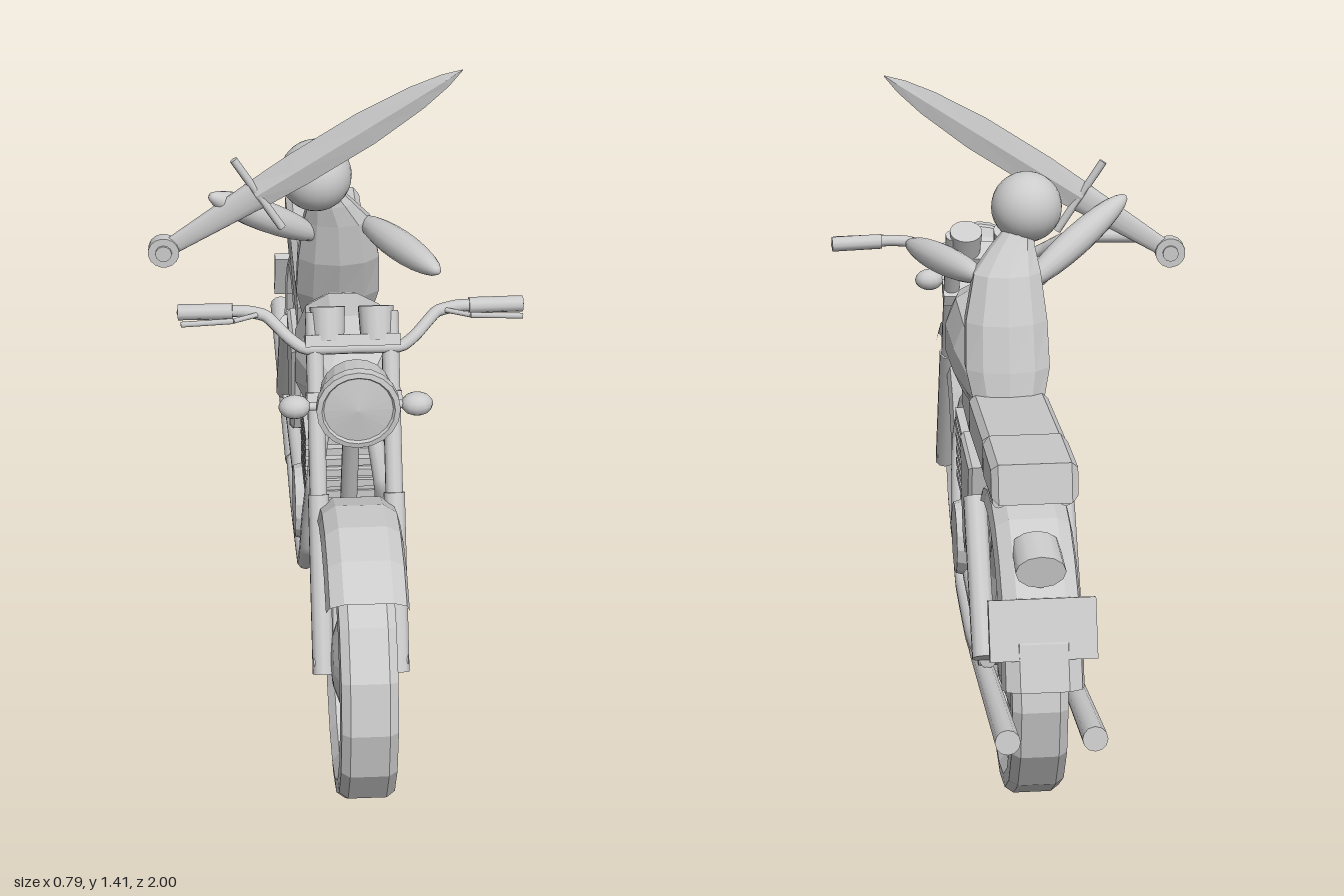
import * as THREE from 'three';

const flat = new THREE.MeshStandardMaterial({ color: 0xcccccc, flatShading: true });
const thin = new THREE.MeshStandardMaterial({ color: 0xcccccc, flatShading: true, side: THREE.DoubleSide });
const smooth = new THREE.MeshStandardMaterial({ color: 0xcccccc });
const V = (x, y, z) => new THREE.Vector3(x, y, z);

function add(parent, name, geo, mat = flat, x = 0, y = 0, z = 0) {
  const m = new THREE.Mesh(geo, mat);
  m.name = name;
  m.position.set(x, y, z);
  parent.add(m);
  return m;
}

// Straight round bar between two points
function rod(parent, name, a, b, r0, r1 = r0, seg = 10, mat = smooth) {
  const d = b.clone().sub(a);
  const m = add(parent, name, new THREE.CylinderGeometry(r1, r0, d.length(), seg), mat);
  m.position.copy(a).addScaledVector(d, 0.5);
  m.quaternion.setFromUnitVectors(V(0, 1, 0), d.normalize());
  return m;
}

// Bent pipe with tight corners and closed ends
function pipe(parent, name, pts, r) {
  const curve = new THREE.CatmullRomCurve3(pts, false, 'catmullrom', 0.2);
  add(parent, name, new THREE.TubeGeometry(curve, pts.length * 6, r, 10), smooth);
  for (const e of [0, pts.length - 1]) add(parent, name + 'End', new THREE.SphereGeometry(r, 10, 6), smooth).position.copy(pts[e]);
}

// Skin over cross-sections; rings run counter-clockwise around the path
function loft(rings, closed = true) {
  const pos = [], n = rings[0].length;
  const tri = (...p) => p.forEach(q => pos.push(...q));
  for (let i = 0; i < rings.length - 1; i++)
    for (let j = 0; j < (closed ? n : n - 1); j++) {
      const k = (j + 1) % n, A = rings[i], B = rings[i + 1];
      tri(A[j], A[k], B[k]);
      tri(A[j], B[k], B[j]);
    }
  if (closed) for (let j = 1; j < n - 1; j++) {
    const A = rings[0], B = rings[rings.length - 1];
    tri(A[0], A[j + 1], A[j]);
    tri(B[0], B[j], B[j + 1]);
  }
  const g = new THREE.BufferGeometry();
  g.setAttribute('position', new THREE.Float32BufferAttribute(pos, 3));
  g.computeVertexNormals();
  return g;
}

// Side outline given as [z, y], extruded across x
function slab(parent, name, pts, x, width, bevel = 0) {
  const s = new THREE.Shape(pts.map(([z, y]) => new THREE.Vector2(-z, y)));
  const g = new THREE.ExtrudeGeometry(s, {
    depth: width - 2 * bevel, bevelEnabled: bevel > 0, bevelSize: bevel, bevelOffset: -bevel, bevelThickness: bevel, bevelSegments: 1
  });
  g.translate(0, 0, bevel - width / 2).rotateY(Math.PI / 2);
  return add(parent, name, g, flat, x);
}

function wheel(parent, name, y, z) {
  const g = new THREE.Group();
  g.name = name;
  g.position.set(0, y, z);
  parent.add(g);
  const ring = [[.228, -.045], [.25, -.06], [.278, -.058], [.291, -.04], [.291, .04], [.278, .058], [.25, .06], [.228, .045], [.228, -.045]];
  const lathe = p => new THREE.LatheGeometry(p.map(q => new THREE.Vector2(...q)), 16).rotateZ(Math.PI / 2);
  add(g, 'tyre', lathe(ring), flat);
  add(g, 'hub', lathe([[0, -.065], [.05, -.06], [.122, -.035], [.122, .035], [.05, .06], [0, .065]]), flat);
  for (let i = 0; i < 18; i++) for (const s of [-1, 1]) {
    const a = (i + .25) / 18 * Math.PI * 2, c = Math.cos(a), d = Math.sin(a);
    rod(g, 'spoke', V(s * .03, d * .11, c * .11), V(s * .018, d * .235, c * .235), .007, .011, 6);
  }
}

// Arched mudguard with slanted side skirts; angles run from the +z direction
function fender(parent, name, y, z, R, a0, a1) {
  const rings = [];
  for (let i = 0; i <= 9; i++) {
    const a = THREE.MathUtils.degToRad(a0 + (a1 - a0) * i / 9);
    rings.push([[-.085, R - .045], [-.078, R - .018], [-.05, R], [.05, R], [.078, R - .018], [.085, R - .045]]
      .map(([x, r]) => [x, y + r * Math.sin(a), z + r * Math.cos(a)]));
  }
  add(parent, name, loft(rings, false), thin);
}

function buildBike() {
  const b = new THREE.Group();
  b.name = 'motorcycle';
  wheel(b, 'frontWheel', .303, .712);
  wheel(b, 'rearWheel', .292, -.51);
  fender(b, 'frontFender', .303, .712, .345, 51, 200);
  fender(b, 'rearFender', .295, -.51, .378, 34, 168);

  // Tank from rounded cross-sections: z, half width, top, bottom
  const outline = [[1, .25], [1, .55], [.78, .85], [.3, 1], [-.3, 1], [-.78, .85], [-1, .55], [-1, .25], [-.8, 0], [.8, 0]];
  add(b, 'fuelTank', loft([
    [-.11, .055, .75, .69], [0, .085, .825, .68], [.1, .105, .87, .68], [.25, .112, .887, .68], [.35, .09, .865, .73], [.4, .06, .83, .78]
  ].map(([z, w, t, o]) => outline.map(([x, f]) => [x * w, o + f * (t - o), z]))));

  // Seat in two cushions
  slab(b, 'seatFront', [[-.1, .745], [-.455, .775], [-.465, .682], [-.115, .65]], 0, .176, .014);
  slab(b, 'seatRear', [[-.46, .777], [-.67, .79], [-.688, .708], [-.465, .682]], 0, .18, .014);

  // Engine
  slab(b, 'crankcase', [[.26, .4], [.11, .43], [-.02, .47], [-.11, .46], [-.15, .4], [-.15, .3], [-.1, .245], [.24, .26]], 0, .16, .02);
  for (const s of [-1, 1]) rod(b, 'engineCover', V(s * .06, .335, .07), V(s * .108, .335, .07), .095, .082, 16, flat);
  add(b, 'cylinder', new THREE.BoxGeometry(.13, .22, .17), flat, 0, .5, .135);
  for (let i = 0; i < 6; i++)
    add(b, 'coolingFin', new THREE.BoxGeometry(.18, .017, .225 - .009 * (5 - i)), flat, 0, .435 + i * .029, .135);
  slab(b, 'cylinderHead', [[.26, .69], [.235, .595], [.035, .595], [.015, .69]], 0, .15, .01);
  rod(b, 'carburettor', V(0, .565, .03), V(0, .575, -.1), .037, .037, 12);
  rod(b, 'carburettorRing', V(0, .567, 0), V(0, .569, -.025), .046, .046, 12);

  // Frame
  rod(b, 'downTube', V(0, .84, .45), V(0, .28, .25), .019);
  rod(b, 'backbone', V(0, .83, .44), V(0, .69, -.1), .025);
  rod(b, 'seatTube', V(0, .67, -.1), V(0, .27, -.12), .02);
  rod(b, 'axle', V(-.1, .303, .712), V(.1, .303, .712), .014);
  rod(b, 'axle', V(-.105, .292, -.51), V(.105, .292, -.51), .018);

  // Front end
  add(b, 'lowerClamp', new THREE.BoxGeometry(.2, .03, .06), flat, 0, .8, .47).rotation.x = -.45;
  add(b, 'upperClamp', new THREE.BoxGeometry(.2, .025, .06), flat, 0, .91, .415).rotation.x = -.45;
  const lamp = [[0, 0], [.045, 0], [.075, .04], [.082, .1], [.087, .105], [.087, .128], [.076, .13], [.072, .124], [0, .132]];
  add(b, 'headlight', new THREE.LatheGeometry(lamp.map(p => new THREE.Vector2(...p)), 20).rotateX(Math.PI / 2), flat, 0, .845, .485);

  for (const s of [-1, 1]) {
    rod(b, 'forkLower', V(s * .08, .28, .722), V(s * .08, .62, .557), .023);
    rod(b, 'forkUpper', V(s * .08, .6, .567), V(s * .08, .965, .39), .019);
    rod(b, 'gauge', V(s * .051, .91, .415), V(s * .051, .975, .385), .034, .038, 14);
    rod(b, 'signalStalk', V(0, .815, .53), V(s * .12, .815, .53), .009);
    add(b, 'turnSignal', new THREE.SphereGeometry(1, 12, 8), smooth, s * .128, .815, .53).scale.set(.034, .025, .028);
    pipe(b, 'handlebar', [V(0, .9, .43), V(s * .1, .9, .43), V(s * .135, .92, .415), V(s * .18, .955, .38), V(s * .23, .963, .37), V(s * .355, .96, .363)], .013);
    rod(b, 'grip', V(s * .25, .962, .368), V(s * .365, .96, .362), .017);
    rod(b, 'lever', V(s * .2, .96, .385), V(s * .25, .96, .412), .006, .006, 6);
    rod(b, 'lever', V(s * .25, .96, .412), V(s * .36, .957, .416), .006, .006, 6);

    // Exhaust, panels and suspension
    pipe(b, 'exhaustPipe', [V(s * .04, .63, .2), V(s * .06, .6, .27), V(s * .075, .5, .3), V(s * .082, .4, .26), V(s * .085, .3, .22),
      V(s * .085, .2, .11), V(s * .087, .198, -.18), V(s * .088, .23, -.36)], .019);
    rod(b, 'muffler', V(s * .088, .225, -.33), V(s * .088, .322, -.995), .021, .026, 12);
    slab(b, 'sidePanel', [[-.07, .645], [-.3, .645], [-.28, .565], [-.18, .39], [-.125, .42], [-.095, .49]], s * .075, .06, .008);
    rod(b, 'shockAbsorber', V(s * .095, .59, -.335), V(s * .095, .305, -.545), .026, .026, 10);
    rod(b, 'swingArm', V(s * .085, .31, -.1), V(s * .085, .292, -.53), .018);
    rod(b, 'seatRail', V(s * .07, .66, -.08), V(s * .07, .69, -.62), .014);
  }

  // Tail
  rod(b, 'tailLight', V(0, .615, -.68), V(0, .6, -.79), .034, .036, 12).scale.x = 1.45;
  add(b, 'rearPlate', new THREE.BoxGeometry(.22, .125, .022), flat, 0, .49, -.825).rotation.x = .37;
  return b;
}

function buildRider() {
  const r = new THREE.Group();
  r.name = 'rider';
  add(r, 'head', new THREE.SphereGeometry(.079, 24, 16), smooth, -.03, 1.13, .043);

  // Torso sections: y, centre z, centre x, half width, half depth
  add(r, 'torso', loft([
    [.645, -.11, .025, .05, .028], [.72, -.105, .025, .08, .045], [.8, -.077, .025, .098, .06], [.9, -.045, .025, .095, .067],
    [1, -.017, .02, .078, .054], [1.05, .005, .005, .052, .04], [1.09, .02, -.01, .03, .028]
  ].map(([y, z, x, w, d]) => Array.from({ length: 10 }, (_, i) => {
    const a = i / 10 * Math.PI * 2;
    return [x + w * Math.sin(a), y, z + d * Math.cos(a)];
  }))));

  const arm = (name, a, b, rad) => {
    const d = b.clone().sub(a), m = add(r, name, new THREE.SphereGeometry(1, 14, 12), smooth);
    m.position.copy(a).addScaledVector(d, .5);
    m.scale.set(rad, d.length() / 2, rad);
    m.quaternion.setFromUnitVectors(V(0, 1, 0), d.normalize());
  };
  arm('leftArm', V(.075, .99, -.03), V(.222, .99, .26), .034);
  arm('rightArm', V(-.02, .96, -.01), V(-.265, 1.125, .13), .034);
  return r;
}

function buildSword() {
  const s = new THREE.Group();
  s.name = 'sword';
  s.position.set(-.365, .993, .12);
  s.rotation.set(0, -.045, .575);
  add(s, 'pommel', new THREE.CylinderGeometry(.034, .034, .028, 16).rotateX(Math.PI / 2), smooth);
  add(s, 'pommelBoss', new THREE.CylinderGeometry(.018, .018, .04, 12).rotateX(Math.PI / 2), smooth);
  rod(s, 'handle', V(.02, 0, 0), V(.24, 0, 0), .02, .034, 12).scale.z = .4;
  rod(s, 'guard', V(.245, -.095, 0), V(.245, .095, 0), .009, .009, 8);

  // Diamond-section blade: distance, half width, half thickness
  add(s, 'blade', loft([[.23, .034, .01], [.35, .04, .01], [.52, .04, .009], [.65, .029, .007], [.72, .016, .005], [.765, .001, .001]]
    .map(([x, w, t]) => [[x, w, 0], [x, 0, t], [x, -w, 0], [x, 0, -t]])));
  return s;
}

export function createModel() {
  const model = new THREE.Group();
  model.name = 'motorcycleWithRider';
  const bike = buildBike();
  bike.position.x = .0255;
  model.add(bike, buildRider(), buildSword());
  return model;
}
